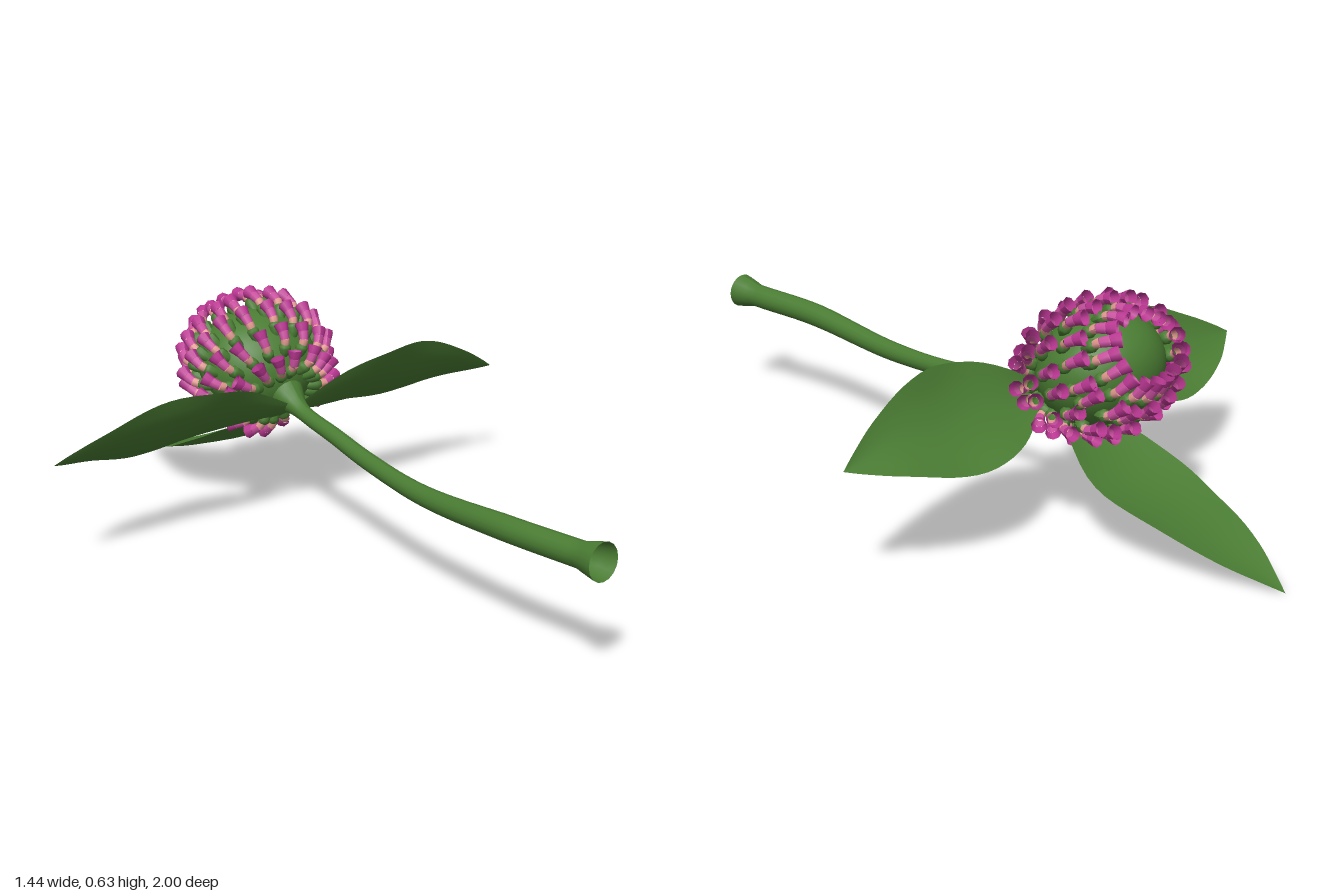
import * as THREE from 'three';
import { mergeGeometries } from 'three/addons/utils/BufferGeometryUtils.js';

const V = (x, y, z) => new THREE.Vector3(x, y, z);
const curve = (pts) => new THREE.CatmullRomCurve3(pts.map((p) => V(...p)));
const material = (name, color) => {
  const m = new THREE.MeshStandardMaterial({ color, side: THREE.DoubleSide });
  m.name = name;
  return m;
};

// Linear lookup in a list of [t, value] pairs
function ramp(stops, t) {
  for (let i = 1; i < stops.length; i++) {
    const [a, va] = stops[i - 1], [b, vb] = stops[i];
    if (t <= b) return va + (vb - va) * (t - a) / (b - a);
  }
  return stops[stops.length - 1][1];
}

// Small seeded generator for natural variation
function seeded(seed) {
  return () => ((seed = (seed * 16807) % 2147483647) / 2147483647);
}

// Round stalk whose radius changes along its path
function stalk(path, stops, rings, sides) {
  const geo = new THREE.TubeGeometry(path, rings, 1, sides);
  const pos = geo.attributes.position, v = V(0, 0, 0);
  for (let i = 0; i < pos.count; i++) {
    const t = Math.floor(i / (sides + 1)) / rings;
    const p = path.getPointAt(t);
    v.fromBufferAttribute(pos, i).sub(p).multiplyScalar(ramp(stops, t)).add(p);
    pos.setXYZ(i, v.x, v.y, v.z);
  }
  geo.computeVertexNormals();
  return geo;
}

// Leaf blade: cross-sections swept along a midrib, cupped and slightly wavy
function blade(midrib, across, up, maxHalf, cup) {
  const rows = 28, cols = 8, pos = [], index = [];
  const outline = new THREE.SplineCurve([
    [0, 0.12], [0.12, 0.42], [0.3, 0.84], [0.48, 1], [0.65, 0.86], [0.82, 0.52], [0.93, 0.22], [1, 0],
  ].map((p) => new THREE.Vector2(...p)));
  for (let i = 0; i <= rows; i++) {
    const o = outline.getPoint(i / rows);
    const c = midrib.getPointAt(THREE.MathUtils.clamp(o.x, 0, 1));
    for (let j = 0; j <= cols; j++) {
      const s = (j / cols) * 2 - 1;
      const lift = o.y * (cup * s * s + 0.006 * s * Math.sin(o.x * 13));
      const p = c.clone().addScaledVector(across, s * o.y * maxHalf).addScaledVector(up, lift);
      pos.push(p.x, p.y, p.z);
      if (i < rows && j < cols) {
        const a = i * (cols + 1) + j, b = a + cols + 1;
        index.push(a, b, a + 1, b, b + 1, a + 1);
      }
    }
  }
  const geo = new THREE.BufferGeometry();
  geo.setAttribute('position', new THREE.Float32BufferAttribute(pos, 3));
  geo.setIndex(index);
  geo.computeVertexNormals();
  return geo;
}

export function createModel() {
  const model = new THREE.Group();
  const green = material('leaf green', 0x4a7c33);
  const magenta = material('petal magenta', 0xba3792);
  const pink = material('petal pink', 0xca509f);
  const pale = material('pale pink', 0xe0988f);
  const add = (parent, name, geo, mat) => {
    const mesh = new THREE.Mesh(geo, mat);
    mesh.name = name;
    parent.add(mesh);
    return mesh;
  };

  // Stem with a flared, hollow cut end
  const path = curve([
    [-0.025, 0.311, 1], [-0.032, 0.306, 0.9], [-0.046, 0.297, 0.7], [-0.03, 0.27, 0.36],
    [-0.01, 0.281, 0.1], [-0.004, 0.304, -0.05], [0, 0.325, -0.19], [0, 0.355, -0.275],
  ]);
  add(model, 'stem', stalk(path, [[0, 0.048], [0.025, 0.041], [0.05, 0.033], [0.25, 0.032],
    [0.6, 0.024], [0.93, 0.021], [0.96, 0.026], [1, 0.05]], 60, 16), green);

  // Side leaves, mirrored, one hanging a little lower
  const slant = V(0, 1, 1).normalize(), slantUp = V(0, 1, -1).normalize();
  for (const side of [1, -1]) {
    const dy = side > 0 ? 0 : -0.014;
    const rib = curve([
      [0.01 * side, 0.325, -0.245], [0.15 * side, 0.33, -0.26],
      [0.36 * side, 0.328 + dy, -0.276], [0.55 * side, 0.325 + dy, -0.279], [0.72 * side, 0.31, -0.27],
    ]);
    add(model, side > 0 ? 'leftLeaf' : 'rightLeaf', blade(rib, slant, slantUp, 0.147, 0.034), green);
  }

  // Rear leaf drooping to the ground
  const rearRib = curve([[0, 0.325, -0.25], [0, 0.24, -0.4], [0, 0.17, -0.51],
    [0, 0.12, -0.64], [0, 0.07, -0.8], [0, 0, -1]]);
  add(model, 'rearLeaf', blade(rearRib, V(1, 0, 0), V(0, 0.92, -0.39), 0.147, 0.018), green);

  // Flower head: core with its axis (+y) tilted towards the back, a little wider than tall
  const head = new THREE.Group();
  head.name = 'flowerHead';
  head.position.set(0, 0.42, -0.42);
  head.quaternion.setFromUnitVectors(V(0, 1, 0), V(0, 0.5, -0.87).normalize());
  model.add(head);
  const wide = 1.06, tall = 0.89;
  add(head, 'flowerCore', new THREE.SphereGeometry(0.16, 32, 24), green).scale.set(wide, 1, tall);

  // Point on the head: angle from the base, distance from the centre, turn about the axis
  const polar = (deg, r, phi) => {
    const a = THREE.MathUtils.degToRad(deg);
    return V(wide * r * Math.sin(a) * Math.sin(phi), -r * Math.cos(a), tall * r * Math.sin(a) * Math.cos(phi));
  };

  // Floret parts: stretch of the floret they cover, and radius along it
  const parts = [
    { name: 'calyxes', mat: green, from: 0, to: 0.4, stops: [[0, 0.01], [0.4, 0.015], [0.85, 0.0175], [1, 0.0115]] },
    { name: 'floretThroats', mat: pale, from: 0.38, to: 0.53, stops: [[0, 0.0115], [1, 0.0125]] },
    { name: 'floretTubes', mat: pink, from: 0.52, to: 0.76, stops: [[0, 0.0125], [1, 0.0145]] },
    { name: 'floretTips', mat: magenta, from: 0.76, to: 1, stops: [[0, 0.0145], [1, 0.0205]] },
  ];
  const lists = parts.map(() => []);
  const rand = seeded(41);
  const jitter = (a) => (rand() - 0.5) * a;

  // Rings of curved florets: the lowest spreads outwards, the rest hug the core and close over the crown
  // [start angle, end angle, tip distance, count]
  const rings = [
    [30, 55, 0.206, 18], [52, 80, 0.2, 18], [74, 103, 0.2, 18],
    [98, 127, 0.201, 18], [121, 151, 0.202, 17],
  ];
  for (const [start, end, tip, count] of rings) {
    for (let k = 0; k < count; k++) {
      const phi = (k / count) * Math.PI * 2 + jitter(0.08);
      const shift = jitter(5), twist = jitter(0.1), reach = tip + jitter(0.012);
      const lean = [[0, 0.148], [0.5, 0.15 + (reach - 0.15) * 0.7], [1, reach]];
      const at = (t) => polar(start + shift + (end - start) * t, ramp(lean, t), phi + twist * t);
      parts.forEach(({ from, to, stops }, i) => {
        const line = new THREE.CatmullRomCurve3([at(from), at((from + to) / 2), at(to)]);
        lists[i].push(stalk(line, stops, 6, 8));
      });
    }
  }
  parts.forEach(({ name, mat }, i) => add(head, name, mergeGeometries(lists[i]), mat));

  return model;
}
